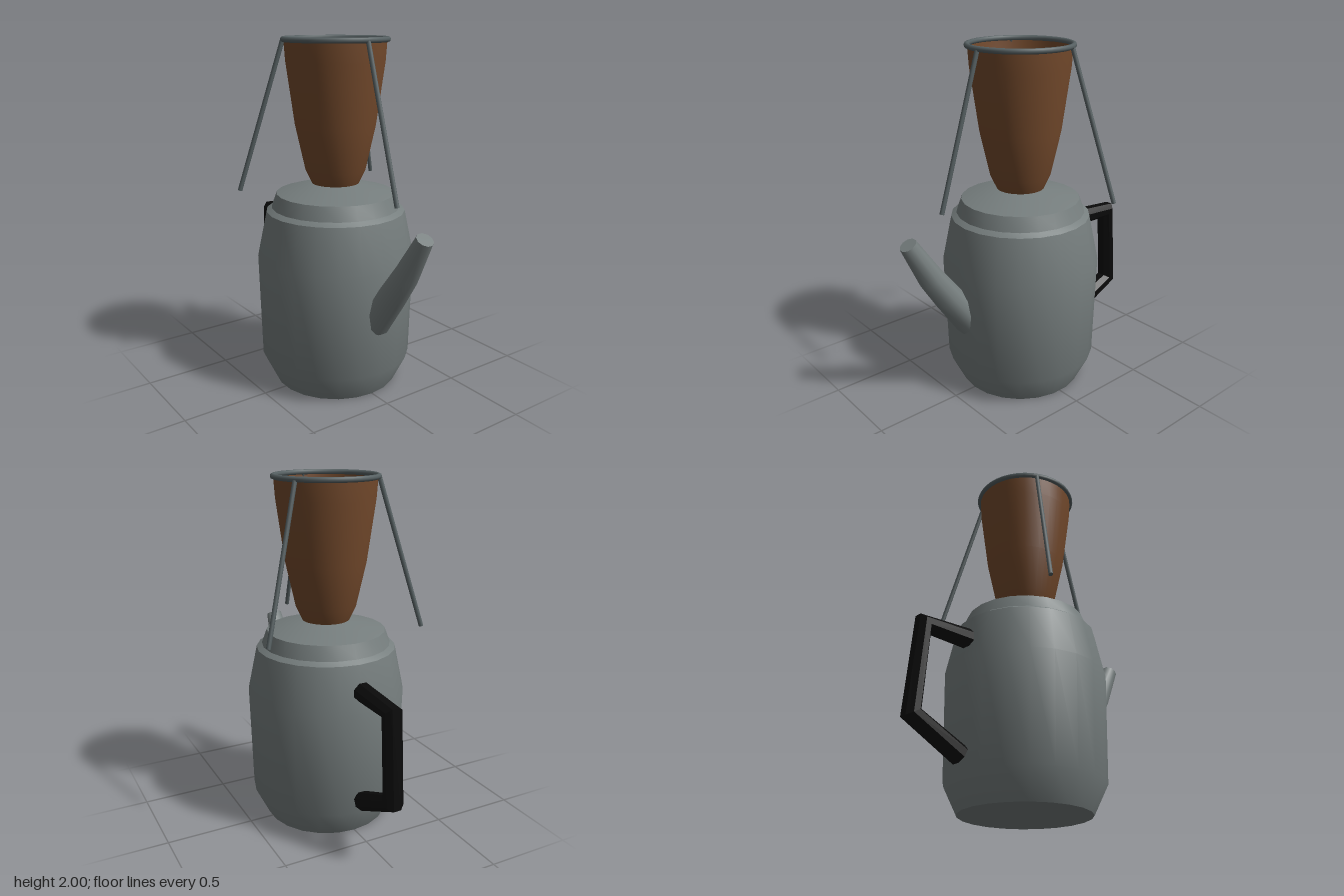
import * as THREE from 'three';
import { toCreasedNormals } from 'three/addons/utils/BufferGeometryUtils.js';

const V = (x, y, z = 0) => new THREE.Vector3(x, y, z);

// Solid of revolution with sharp rims kept crisp
function lathe(profile, segments) {
  const pts = profile.map(([x, y]) => new THREE.Vector2(x, y));
  return toCreasedNormals(new THREE.LatheGeometry(pts, segments, Math.PI / 2), 0.52);
}

// Capped tube through round sections [x, y, radius] in the xy plane
function sweep(sections, sides, crease) {
  const pos = [], idx = [], last = sections.length - 1;
  const centre = (i) => V(sections[i][0], sections[i][1]);
  const dir = (i) => centre(i + 1).sub(centre(i)).normalize();
  for (let i = 0; i <= last; i++) {
    const t = dir(Math.min(i, last - 1)).add(dir(Math.max(i - 1, 0))).normalize();
    const [x, y, r] = sections[i];
    for (let j = 0; j < sides; j++) {
      const a = ((j + 0.5) / sides) * Math.PI * 2;
      pos.push(x - t.y * r * Math.cos(a), y + t.x * r * Math.cos(a), r * Math.sin(a));
    }
  }
  const first = pos.length / 3;
  pos.push(...centre(0).toArray(), ...centre(last).toArray());
  for (let j = 0; j < sides; j++) {
    const k = (j + 1) % sides, e = last * sides;
    for (let i = 0; i < last; i++) {
      const a = i * sides, b = a + sides;
      idx.push(a + j, a + k, b + j, a + k, b + k, b + j);
    }
    idx.push(first, k, j, first + 1, e + j, e + k);
  }
  const g = new THREE.BufferGeometry();
  g.setAttribute('position', new THREE.Float32BufferAttribute(pos, 3));
  g.setIndex(idx);
  return toCreasedNormals(g, crease);
}

// Straight rod between two points
function rod(a, b, radius) {
  const g = new THREE.CylinderGeometry(radius, radius, a.distanceTo(b), 8);
  g.applyQuaternion(new THREE.Quaternion().setFromUnitVectors(V(0, 1, 0), b.clone().sub(a).normalize()));
  const m = a.clone().add(b).multiplyScalar(0.5);
  return g.translate(m.x, m.y, m.z);
}

export function createModel() {
  const group = new THREE.Group();
  const material = (name, color, side = THREE.FrontSide) => {
    const m = new THREE.MeshStandardMaterial({ color, side });
    m.name = name;
    return m;
  };
  const steel = material('greySteel', 0x767e7e);
  const wire = material('darkWire', 0x566062);
  const brown = material('brownFilter', 0x744a2c, THREE.DoubleSide);
  const black = material('blackHandle', 0x0a0a0a);
  const add = (name, geometry, mat) => {
    const mesh = new THREE.Mesh(geometry, mat);
    mesh.name = name;
    group.add(mesh);
    return mesh;
  };

  // Pot with shoulder
  add('potBody', lathe([
    [0, 0], [0.362, 0], [0.44, 0.16], [0.455, 0.77], [0.4, 1.03], [0.37, 1.05], [0, 1.05],
  ], 22), steel);

  // Lid with a small flat top
  add('lid', lathe([[0.37, 1.05], [0.34, 1.13], [0.137, 1.187], [0, 1.187]], 22), steel);

  // Spout, widest at the pot
  add('spout', sweep([
    [0.38, 0.457, 0.09], [0.53, 0.662, 0.08], [0.63, 0.805, 0.071], [0.762, 1.035, 0.048],
  ], 10, 0.7), steel);

  // Angular grip
  add('handle', sweep([
    [-0.43, 0.885, 0.056], [-0.725, 0.874, 0.056], [-0.762, 0.385, 0.056], [-0.455, 0.238, 0.056],
  ], 8, 0.5), black);

  // Open filter cup
  add('filterCup', lathe([
    [0.135, 1.185], [0.172, 1.265], [0.228, 1.52], [0.276, 1.87], [0.284, 1.985],
  ], 32), brown);

  // Rim ring and its three splayed legs
  const ring = new THREE.TorusGeometry(0.287, 0.015, 8, 40);
  add('rimRing', ring.rotateX(Math.PI / 2).translate(0, 1.985, 0), wire);
  for (let i = 0; i < 3; i++) {
    const leg = add('wireLeg' + (i + 1), rod(V(0.545, 1.15), V(0.289, 1.98), 0.013), wire);
    leg.rotation.y = (i * Math.PI * 2) / 3;
  }
  return group;
}
